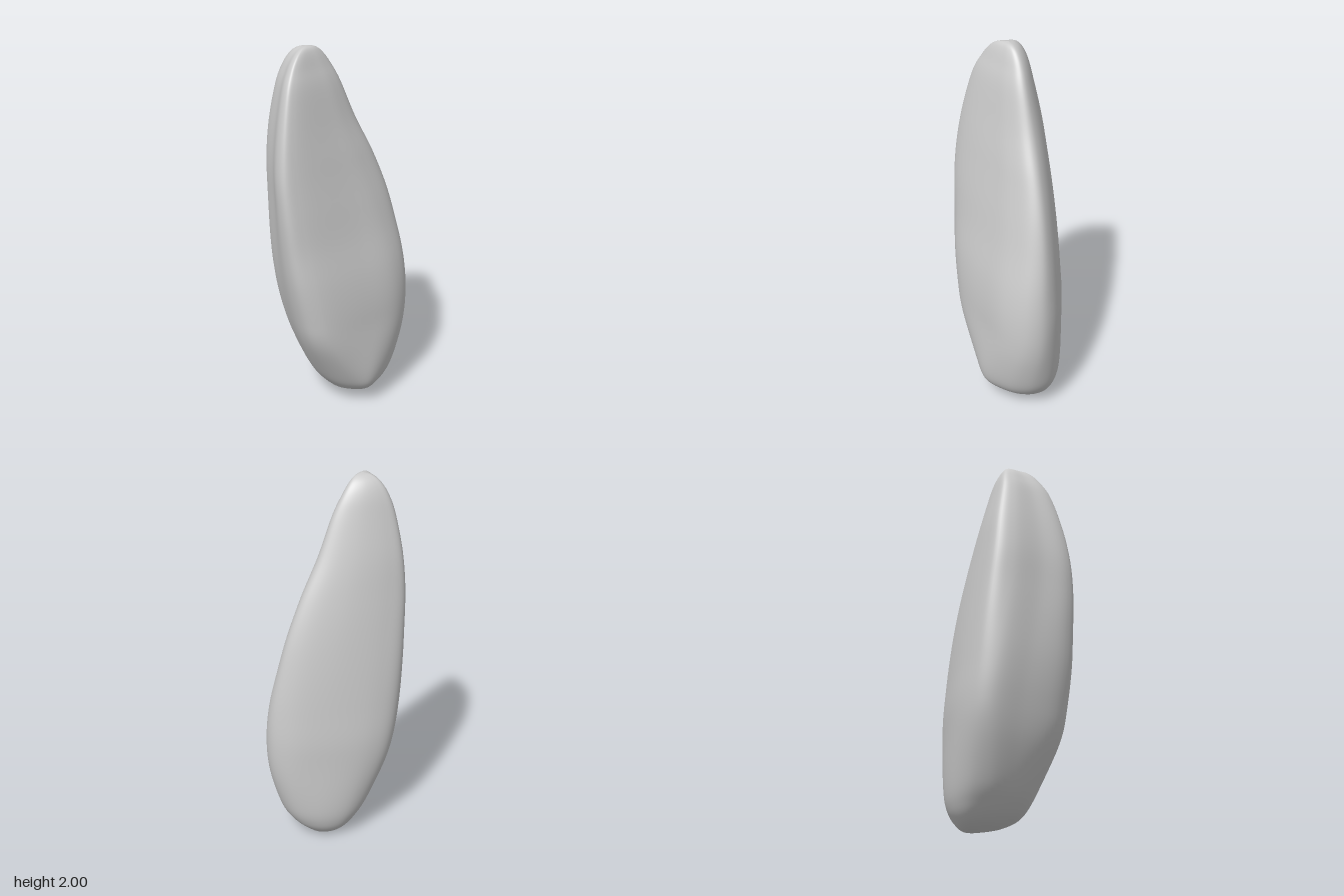
import * as THREE from 'three';

// Height rows: y, xMin, xMax, zMin, zMax
const ROWS = [
  [0, 0.09, 0.09, -0.1, -0.1],
  [0.01, 0.03, 0.15, -0.15, -0.03],
  [0.04, -0.035, 0.2, -0.19, 0.075],
  [0.1, -0.1, 0.265, -0.225, 0.175],
  [0.2, -0.17, 0.32, -0.25, 0.225],
  [0.4, -0.255, 0.375, -0.27, 0.265],
  [0.6, -0.31, 0.39, -0.28, 0.28],
  [0.8, -0.35, 0.375, -0.27, 0.283],
  [1.0, -0.375, 0.335, -0.255, 0.27],
  [1.2, -0.39, 0.28, -0.235, 0.258],
  [1.4, -0.395, 0.2, -0.212, 0.235],
  [1.6, -0.375, 0.1, -0.185, 0.2],
  [1.8, -0.335, 0.015, -0.142, 0.15],
  [1.9, -0.295, -0.04, -0.115, 0.105],
  [1.96, -0.255, -0.085, -0.085, 0.07],
  [1.99, -0.215, -0.125, -0.05, 0.035],
  [2, -0.17, -0.17, -0.01, -0.01],
];

// Rounded three-sided outlines (x, z), from the front left corner round to the back
const BASE = [[-0.15, 0.06], [-0.1, 0.14], [0, 0.2], [0.1, 0.22], [0.21, 0.15], [0.29, 0.06], [0.32, -0.04],
  [0.29, -0.14], [0.18, -0.22], [0.02, -0.25], [-0.1, -0.21], [-0.16, -0.12], [-0.17, -0.02]];
const LOW = [[-0.32, 0.17], [-0.28, 0.25], [-0.19, 0.28], [0.1, 0.205], [0.29, 0.12], [0.38, 0.02],
  [0.385, -0.07], [0.32, -0.15], [0.15, -0.225], [-0.1, -0.275], [-0.24, -0.255], [-0.31, -0.18], [-0.325, -0.02]];
const HIGH = [[-0.39, 0.17], [-0.365, 0.225], [-0.28, 0.22], [0, 0.105], [0.13, 0.04], [0.22, -0.03],
  [0.235, -0.08], [0.19, -0.125], [0.02, -0.19], [-0.2, -0.217], [-0.315, -0.2], [-0.36, -0.11], [-0.37, 0.04]];

const AROUND = 96, UP = 96;
const { lerp, smoothstep } = THREE.MathUtils;

// Smooth closed outline scaled to the 0..1 square
function unitOutline(points) {
  const curve = new THREE.CatmullRomCurve3(points.map(([x, z]) => new THREE.Vector3(x, 0, z)), true);
  const pts = Array.from({ length: AROUND }, (_, i) => curve.getPoint(i / AROUND));
  const box = new THREE.Box3().setFromPoints(pts);
  const size = box.getSize(new THREE.Vector3());
  return pts.map((p) => [(p.x - box.min.x) / size.x, (p.z - box.min.z) / size.z]);
}

function stoneGeometry() {
  const [base, low, high] = [BASE, LOW, HIGH].map(unitOutline);
  const spline = (a, b, c) => new THREE.CatmullRomCurve3(
    ROWS.map((r) => new THREE.Vector3(r[a], r[b], r[c])), false, 'catmullrom', 0.5);
  const xCurve = spline(1, 0, 2), zCurve = spline(3, 0, 4);
  const pos = [0.09, 0, -0.1], index = [];

  // Rings between the two poles, blending the outlines with height
  for (let j = 1; j < UP; j++) {
    const xs = xCurve.getPoint(j / UP), zs = zCurve.getPoint(j / UP);
    const k1 = smoothstep(xs.y, 0.05, 0.55), k2 = smoothstep(xs.y, 0.5, 1.4);
    for (let i = 0; i < AROUND; i++) {
      const [u, v] = [0, 1].map((c) => lerp(lerp(base[i][c], low[i][c], k1), high[i][c], k2));
      pos.push(lerp(xs.x, xs.z, u), xs.y, lerp(zs.x, zs.z, v));
    }
  }
  pos.push(-0.17, 2, -0.01);

  const top = pos.length / 3 - 1;
  const at = (j, i) => 1 + (j - 1) * AROUND + (i % AROUND);
  for (let i = 0; i < AROUND; i++) {
    index.push(0, at(1, i + 1), at(1, i), at(UP - 1, i), at(UP - 1, i + 1), top);
    for (let j = 1; j < UP - 1; j++) {
      index.push(at(j, i), at(j, i + 1), at(j + 1, i), at(j, i + 1), at(j + 1, i + 1), at(j + 1, i));
    }
  }
  const geo = new THREE.BufferGeometry();
  geo.setAttribute('position', new THREE.Float32BufferAttribute(pos, 3));
  geo.setIndex(index);
  geo.computeVertexNormals();
  return geo;
}

export function createModel() {
  const group = new THREE.Group();
  group.name = 'standingStone';
  const stone = new THREE.Mesh(stoneGeometry(), new THREE.MeshStandardMaterial({ color: 0xcccccc }));
  stone.name = 'stone';
  group.add(stone);
  return group;
}
